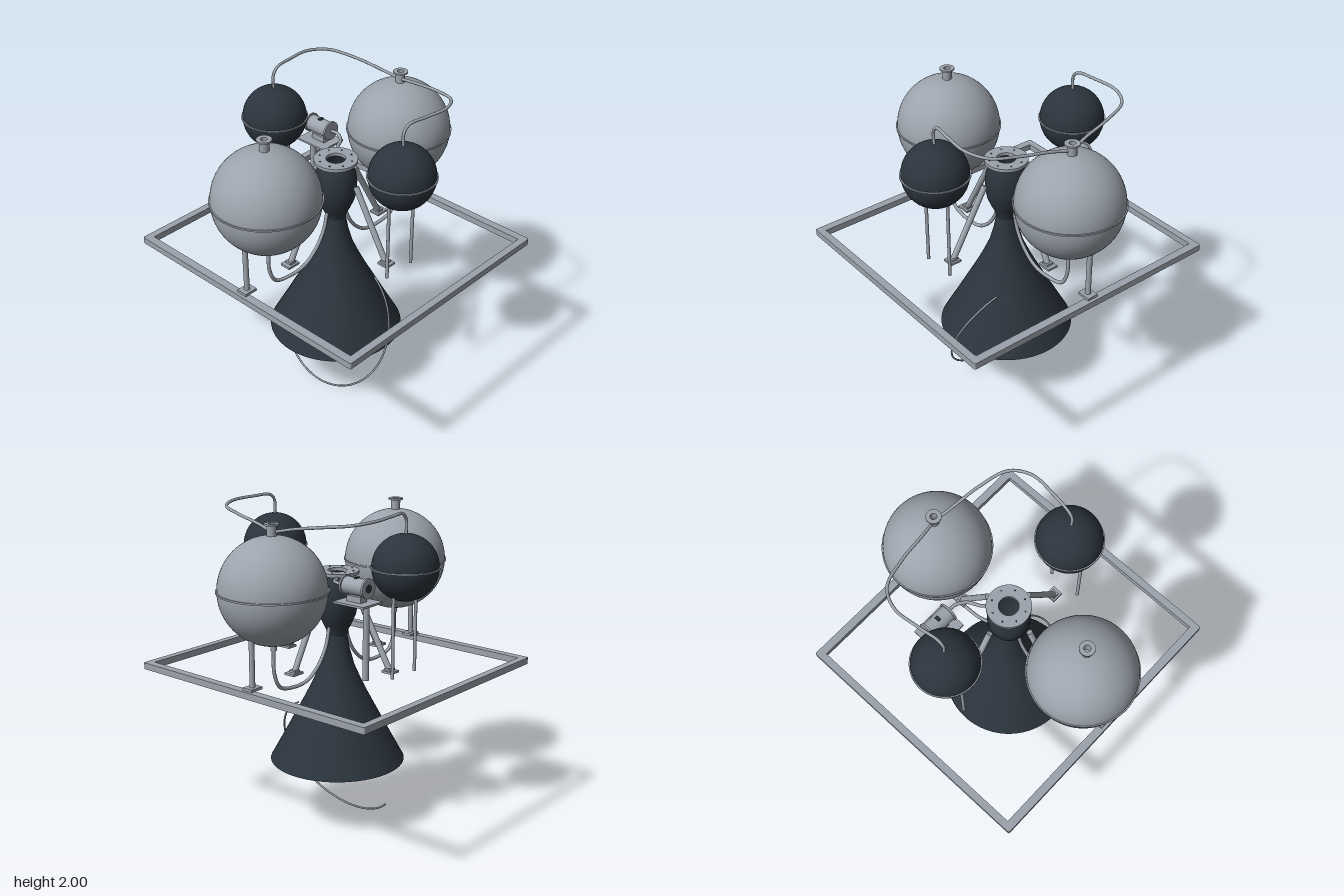
import * as THREE from 'three';

const grey = new THREE.MeshStandardMaterial({ color: 0x9ca3ac, side: THREE.DoubleSide });
grey.name = 'metal grey';
const dark = new THREE.MeshStandardMaterial({ color: 0x2b343d, side: THREE.DoubleSide });
dark.name = 'dark slate';

const V = (x, y, z) => new THREE.Vector3(x, y, z);

export function createModel() {
  const model = new THREE.Group();
  model.name = 'rocketEngineAssembly';

  const add = (name, geo, mat, x = 0, y = 0, z = 0) => {
    const m = new THREE.Mesh(geo, mat);
    m.name = name;
    m.position.set(x, y, z);
    model.add(m);
    return m;
  };
  const box = (name, w, h, d, x, y, z) => add(name, new THREE.BoxGeometry(w, h, d), grey, x, y, z);
  const cyl = (name, r, h, x, y, z, mat = grey) => add(name, new THREE.CylinderGeometry(r, r, h, 24), mat, x, y, z);
  // straight round bar between two points
  const rod = (name, a, b, r) => {
    const d = b.clone().sub(a);
    const m = cyl(name, r, d.length(), 0, 0, 0);
    m.position.copy(a).add(b).multiplyScalar(0.5);
    m.quaternion.setFromUnitVectors(V(0, 1, 0), d.normalize());
    return m;
  };
  const pipe = (name, pts, r) => add(name, new THREE.TubeGeometry(
    new THREE.CatmullRomCurve3(pts.map(p => V(...p))), 64, r, 10), grey);
  // flat washer with its base at y
  const washer = (name, outer, inner, h, x, y, z) => {
    const s = new THREE.Shape().absarc(0, 0, outer, 0, Math.PI * 2);
    s.holes.push(new THREE.Path().absarc(0, 0, inner, 0, Math.PI * 2, true));
    const g = new THREE.ExtrudeGeometry(s, { depth: h, bevelEnabled: false, curveSegments: 32 });
    g.rotateX(-Math.PI / 2);
    return add(name, g, grey, x, y, z);
  };

  // rectangular frame with an open middle
  const outline = new THREE.Shape();
  const X = 0.797, Z = 0.857, c = 0.012;
  outline.moveTo(-X + c, -Z).lineTo(X - c, -Z).quadraticCurveTo(X, -Z, X, -Z + c);
  outline.lineTo(X, Z - c).quadraticCurveTo(X, Z, X - c, Z);
  outline.lineTo(-X + c, Z).quadraticCurveTo(-X, Z, -X, Z - c);
  outline.lineTo(-X, -Z + c).quadraticCurveTo(-X, -Z, -X + c, -Z);
  const ix = 0.747, iz = 0.812;
  outline.holes.push(new THREE.Path([[-ix, -iz], [-ix, iz], [ix, iz], [ix, -iz]].map(p => new THREE.Vector2(...p))));
  const frameGeo = new THREE.ExtrudeGeometry(outline, { depth: 0.04, bevelEnabled: false, curveSegments: 4 });
  frameGeo.rotateX(-Math.PI / 2);
  add('frame', frameGeo, grey, 0, 0.988, 0);

  // engine: nozzle bell, throat and chamber as one turned shell
  const lathe = pts => new THREE.LatheGeometry(pts.map(p => new THREE.Vector2(...p)), 64);
  add('nozzle', lathe([[0.413, 0.4], [0.32, 0.57], [0.235, 0.73], [0.19, 0.815], [0.148, 0.9],
    [0.104, 1.0], [0.076, 1.1], [0.06, 1.19]]), dark);
  add('chamber', lathe([[0.06, 1.19], [0.068, 1.225], [0.088, 1.265], [0.112, 1.32], [0.124, 1.38],
    [0.126, 1.44], [0.12, 1.49], [0.104, 1.535], [0.085, 1.57]]), dark);
  washer('chamberFlange', 0.13, 0.058, 0.02, 0, 1.568, 0);
  for (let i = 0; i < 8; i++) {
    const a = (i + 0.5) * Math.PI / 4;
    cyl('flangeBolt', 0.005, 0.004, 0.1 * Math.cos(a), 1.589, 0.1 * Math.sin(a), dark);
  }

  // diagonal struts from the chamber out to foot pads
  for (const [dx, dz] of [[1, 0], [-1, 0], [0, 1], [0, -1]]) {
    rod('strut', V(dx * 0.385, 1.045, dz * 0.4), V(dx * 0.16, 1.46, dz * 0.16), 0.018);
    box('strutPad', dx ? 0.085 : 0.07, 0.014, dx ? 0.07 : 0.075, dx * 0.39, 1.04, dz * 0.405);
    box('strutFoot', 0.045, 0.016, 0.045, dx * 0.385, 1.052, dz * 0.4);
  }

  for (const s of [1, -1]) {
    // large side tanks
    const x = s * 0.558;
    add('largeTank', new THREE.SphereGeometry(0.313, 64, 40), grey, x, 1.565, 0);
    washer('largeTankSeam', 0.32, 0.305, 0.01, x, 1.56, 0);
    washer('tankNeck', 0.028, 0.019, 0.075, x, 1.865, 0);
    washer('tankNeckFlange', 0.044, 0.019, 0.01, x, 1.935, 0);
    cyl('tankOutlet', 0.018, 0.045, x, 1.24, 0);
    rod('largeTankLeg', V(s * 0.735, 1.04, 0), V(s * 0.735, 1.32, 0), 0.016);
    box('largeTankPad', 0.085, 0.016, 0.07, s * 0.735, 1.036, 0);
    // feed pipe looping under the frame to the throat
    pipe('feedPipe', [[x, 1.23, 0], [s * 0.556, 1.08, 0], [s * 0.51, 0.985, 0], [s * 0.4, 0.956, 0],
      [s * 0.27, 0.968, 0], [s * 0.17, 1.04, 0], [s * 0.105, 1.14, 0], [s * 0.075, 1.25, 0]], 0.011);

    // small front and back tanks
    const z = s * 0.503;
    add('smallTank', new THREE.SphereGeometry(0.193, 48, 32), dark, 0, 1.677, z);
    washer('smallTankSeam', 0.2, 0.187, 0.008, 0, 1.673, z);
    for (const k of [1, -1]) rod('smallTankLeg', V(k * 0.105, 1.04, z), V(k * 0.105, 1.53, z), 0.01);
    // pressure pipe over to the left large tank
    pipe('pressurePipe', [[0, 1.85, z], [0, 1.95, z], [0.035, 1.986, s * 0.506], [0.16, 1.99, s * 0.525],
      [0.32, 1.985, s * 0.535], [0.44, 1.972, s * 0.47], [0.5, 1.95, s * 0.3], [0.53, 1.922, s * 0.12],
      [0.556, 1.895, 0]], 0.009);
  }

  // pump on its raised bracket
  rod('pumpPost', V(0.22, 1.04, -0.4), V(0.22, 1.487, -0.4), 0.019);
  box('pumpShelf', 0.175, 0.012, 0.22, 0.222, 1.489, -0.34);
  box('pumpSaddle', 0.06, 0.04, 0.1, 0.225, 1.51, -0.335);
  rod('pumpBody', V(0.225, 1.58, -0.41), V(0.225, 1.58, -0.255), 0.05);
  for (const z of [-0.415, -0.255]) rod('pumpEndRing', V(0.225, 1.58, z - 0.006), V(0.225, 1.58, z + 0.006), 0.059);
  rod('pumpEndCap', V(0.225, 1.58, -0.4225), V(0.225, 1.58, -0.419), 0.025).material = dark;
  box('pumpTerminal', 0.03, 0.012, 0.02, 0.225, 1.63, -0.335).material = dark;
  pipe('pumpPipe', [[0.23, 1.58, -0.25], [0.228, 1.58, -0.2], [0.19, 1.575, -0.14], [0.12, 1.57, -0.1],
    [0.085, 1.56, -0.06]], 0.01);

  // thin tilted open hoop around the nozzle mouth
  const hoop = [];
  for (let i = 0; i <= 24; i++) {
    const a = THREE.MathUtils.degToRad(27 + i * 197 / 24);
    const v = 0.427 * Math.cos(a);
    hoop.push([0.385 * v, 0.4 + 0.923 * v, 0.42 * Math.sin(a)]);
  }
  pipe('hoop', hoop, 0.006);

  return model;
}
